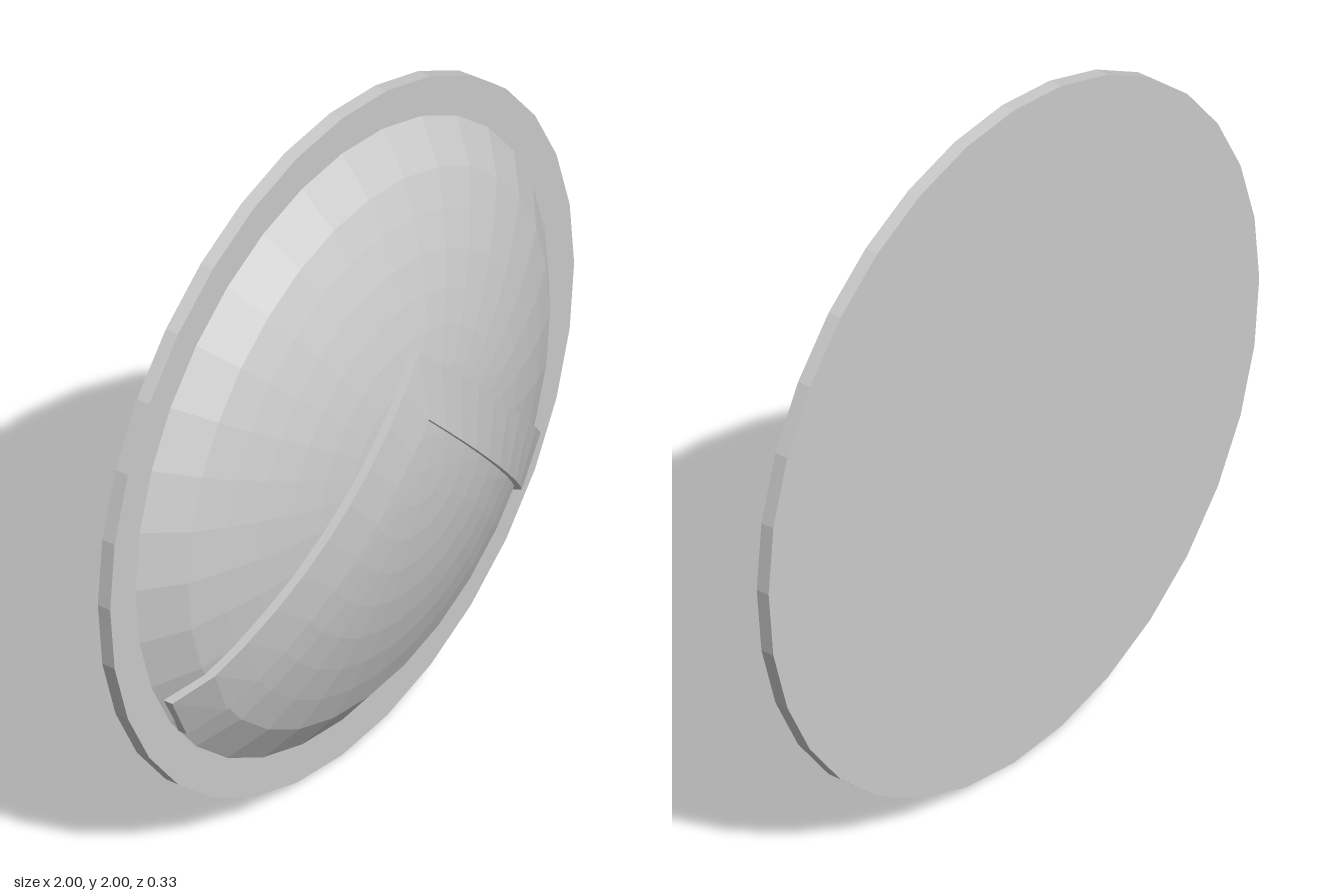
import * as THREE from 'three';

const RIM_FRONT = -0.12, SHOULDER = 0.78, FOOT = 0.89;
const PEAK = 0.145, RADIUS = 1.8;

// Height of the dome at distance r from its axis: spherical cap, then a steeper shoulder
function domeZ(r) {
  const cap = (q) => PEAK - RADIUS + Math.sqrt(RADIUS * RADIUS - q * q);
  if (r <= SHOULDER) return cap(r);
  return THREE.MathUtils.mapLinear(r, SHOULDER, FOOT, cap(SHOULDER), RIM_FRONT);
}

// Chevron band draped over the dome, lofted from four-cornered sections
function chevronGeometry() {
  const n = 10, thick = 0.025, positions = [], index = [];
  const addPoint = (x, y, lift) => {
    const z = domeZ(Math.hypot(x, y - 1)) + lift;
    positions.push(x, y, Math.max(z, RIM_FRONT));
  };
  for (let i = -n; i <= n; i++) {
    const t = i / n, a = Math.abs(t);
    const upper = [0.78 * t, 1.37 - 0.77 * a];
    const lower = [0.705 * t, 1.17 - 0.71 * a];
    addPoint(...upper, -thick);
    addPoint(...upper, thick);
    addPoint(...lower, thick);
    addPoint(...lower, -thick);
  }
  for (let i = 0; i < 2 * n; i++) {
    for (let k = 0; k < 4; k++) {
      const a = i * 4 + k, b = i * 4 + (k + 1) % 4;
      index.push(a, b, b + 4, a, b + 4, a + 4);
    }
  }
  const e = 8 * n;
  index.push(0, 3, 2, 0, 2, 1, e, e + 1, e + 2, e, e + 2, e + 3);
  const geometry = new THREE.BufferGeometry();
  geometry.setAttribute('position', new THREE.Float32BufferAttribute(positions, 3));
  geometry.setIndex(index);
  const flat = geometry.toNonIndexed();
  flat.computeVertexNormals();
  return flat;
}

export function createModel() {
  const group = new THREE.Group();
  group.name = 'roundShield';
  const material = new THREE.MeshStandardMaterial({ color: 0xcccccc, flatShading: true });
  const add = (name, geometry) => {
    const mesh = new THREE.Mesh(geometry, material);
    mesh.name = name;
    group.add(mesh);
  };

  // Flat backing disc whose edge forms the rim
  add('rimDisc', new THREE.CylinderGeometry(1, 1, 0.04, 32)
    .rotateX(Math.PI / 2).translate(0, 1, -0.14));

  // Bowed face
  const profile = [new THREE.Vector2(FOOT, RIM_FRONT)];
  const rings = 8;
  for (let i = rings; i >= 0; i--) {
    const r = SHOULDER * i / rings;
    profile.push(new THREE.Vector2(r, domeZ(r)));
  }
  add('dome', new THREE.LatheGeometry(profile, 32).rotateX(Math.PI / 2).translate(0, 1, 0));

  // Raised inverted V
  add('chevronBand', chevronGeometry());
  return group;
}
